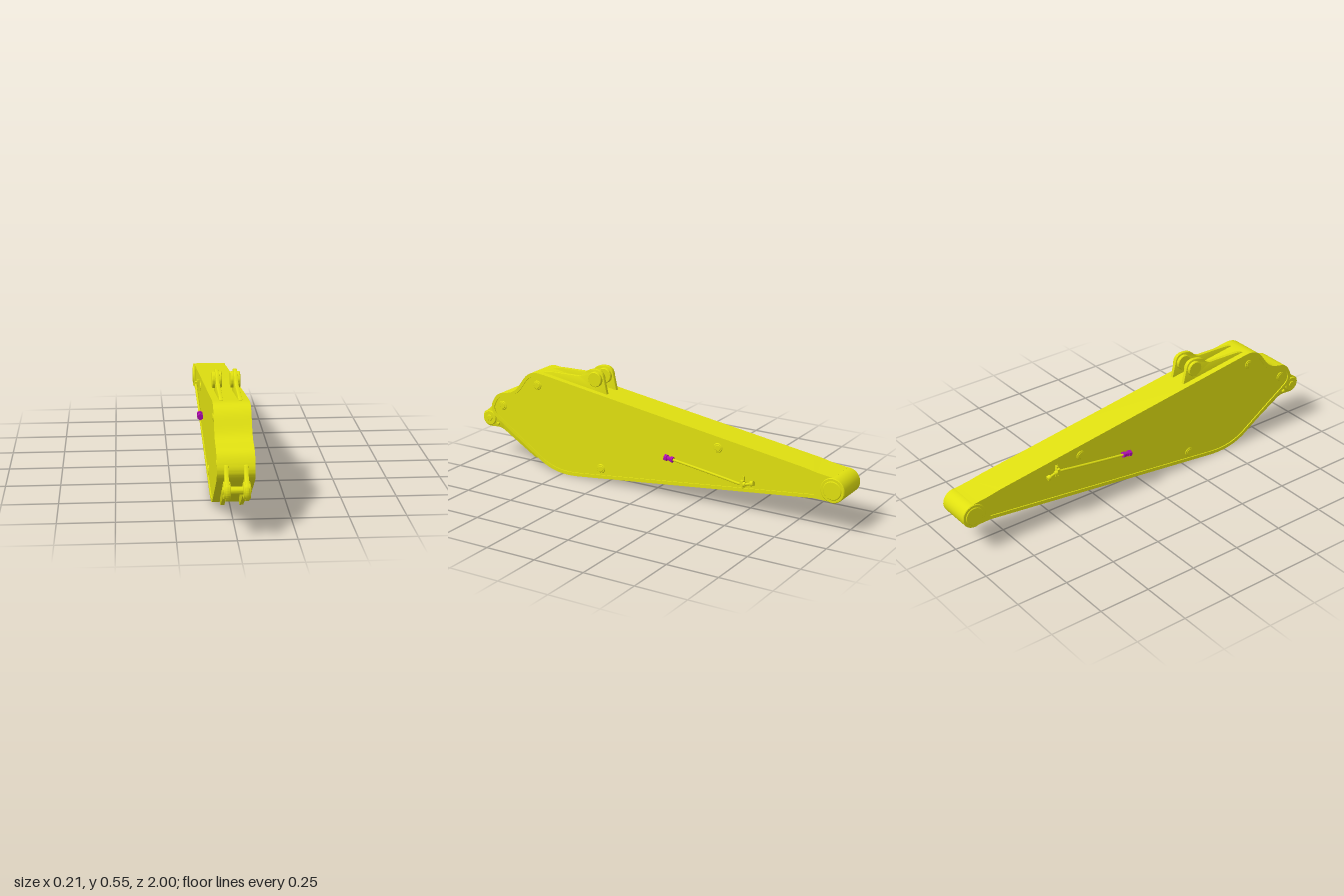
import * as THREE from 'three';
import { toCreasedNormals } from 'three/addons/utils/BufferGeometryUtils.js';

const yellow = new THREE.MeshStandardMaterial({ color: 0xe0e010 });
const magenta = new THREE.MeshStandardMaterial({ color: 0xb010b0 });
const V2 = (p) => new THREE.Vector2(p[0], p[1]);

export function createModel() {
  const root = new THREE.Group();
  root.name = 'excavatorArm';

  const add = (name, geometry, parent = root, material = yellow) => {
    const mesh = new THREE.Mesh(geometry, material);
    mesh.name = name;
    parent.add(mesh);
    return mesh;
  };

  // Plate drawn in (z, y), extruded across x and centred on x = cx
  const plate = (shape, width, cx = 0, bevel = 0) => {
    const g = new THREE.ExtrudeGeometry(shape, {
      depth: width - 2 * bevel, curveSegments: 24, bevelEnabled: bevel > 0,
      bevelSize: bevel, bevelOffset: -bevel, bevelThickness: bevel, bevelSegments: 2,
    });
    g.translate(0, 0, -(width - 2 * bevel) / 2).rotateY(-Math.PI / 2).translate(cx, 0, 0);
    return toCreasedNormals(g, 0.6);
  };

  // Round part lying across x, between x0 and x1
  const disc = (name, r, x0, x1, z, y, parent = root, bevel = 0.003) => {
    const h = (x1 - x0) / 2;
    const profile = [[0, -h], [r - bevel, -h], [r, -h + bevel], [r, h - bevel], [r - bevel, h], [0, h]];
    const g = new THREE.LatheGeometry(profile.map(V2), 32);
    g.rotateZ(-Math.PI / 2).translate((x0 + x1) / 2, y, z);
    return add(name, toCreasedNormals(g, 0.6), parent);
  };

  // Box body outline, counter-clockwise in (z, y)
  const outline = new THREE.Shape();
  outline.moveTo(-0.94, 0.149);
  outline.lineTo(-0.86, 0.152);
  outline.lineTo(0.40, 0.009);
  outline.bezierCurveTo(0.48, 0, 0.55, 0.005, 0.62, 0.045);
  outline.lineTo(0.89, 0.225);
  outline.bezierCurveTo(0.925, 0.25, 0.93, 0.28, 0.91, 0.315);
  outline.bezierCurveTo(0.88, 0.37, 0.85, 0.355, 0.80, 0.373);
  outline.bezierCurveTo(0.73, 0.40, 0.73, 0.495, 0.64, 0.496);
  outline.lineTo(0.60, 0.492);
  outline.lineTo(-0.80, 0.286);
  outline.lineTo(-0.86, 0.274);
  outline.lineTo(-0.94, 0.263);
  const points = outline.getPoints(14);

  // Inset of the outline, cut square before the tail boss
  const inset = points.slice(1, -1).map((p, i) => {
    const t = points[i + 2].clone().sub(points[i]).normalize();
    return new THREE.Vector2(Math.max(p.x - t.y * 0.017, -0.86), p.y + t.x * 0.017);
  });
  const rim = new THREE.Shape(points);
  rim.holes.push(new THREE.Path(inset));
  add('bodyRim', plate(rim, 0.16));
  add('sidePanels', plate(new THREE.Shape(inset), 0.15));

  // Tail boss and its pin
  disc('tailBoss', 0.058, -0.085, 0.085, -0.942, 0.205);
  disc('tailPin', 0.044, -0.088, 0.088, -0.942, 0.205);

  // Cross tubes showing on both sides
  for (const [z, y] of [[0.855, 0.295], [0.64, 0.433], [-0.365, 0.295], [0.275, 0.072]]) {
    disc('crossTube', 0.023, -0.078, 0.078, z, y);
    disc('crossTubeCap', 0.016, -0.080, 0.080, z, y);
  }

  // Front clevis lug
  const frontLug = new THREE.Shape();
  frontLug.moveTo(0.66, 0.052);
  frontLug.quadraticCurveTo(0.672, 0.04, 0.69, 0.05);
  frontLug.lineTo(0.87, 0.158);
  frontLug.quadraticCurveTo(0.89, 0.168, 0.91, 0.167);
  frontLug.lineTo(0.955, 0.164);
  frontLug.absarc(0.956, 0.208, 0.044, -Math.PI / 2, 0.7, false);
  frontLug.quadraticCurveTo(0.955, 0.255, 0.92, 0.30);
  frontLug.quadraticCurveTo(0.91, 0.312, 0.89, 0.31);
  frontLug.lineTo(0.85, 0.26);
  frontLug.lineTo(0.62, 0.10);

  // Top cylinder lug
  const topLug = new THREE.Shape();
  topLug.moveTo(0.25, 0.42);
  topLug.lineTo(0.62, 0.48);
  topLug.lineTo(0.62, 0.496);
  topLug.quadraticCurveTo(0.59, 0.505, 0.55, 0.506);
  topLug.lineTo(0.42, 0.509);
  topLug.quadraticCurveTo(0.395, 0.512, 0.38, 0.53);
  topLug.quadraticCurveTo(0.36, 0.555, 0.31, 0.555);
  topLug.quadraticCurveTo(0.28, 0.553, 0.273, 0.525);

  for (const s of [-1, 1]) {
    const x = 0.041 * s;
    add('frontLug', plate(frontLug, 0.017, x, 0.002));
    disc('frontLugHub', 0.037, x - 0.015, x + 0.015, 0.956, 0.208);
    disc('lockBolt', 0.008, x - 0.019, x + 0.019, 0.905, 0.185);
    add('topLug', plate(topLug, 0.017, x, 0.002));
    disc('topLugHub', 0.037, x - 0.022, x + 0.022, 0.315, 0.508);
  }
  disc('frontPin', 0.016, -0.06, 0.06, 0.956, 0.208);

  // Hydraulic line: one per side, the second turned half a turn about z
  const hydraulicLine = () => {
    const group = new THREE.Group();
    const path = new THREE.CatmullRomCurve3(
      [[-0.13, 0.202], [-0.28, 0.182], [-0.42, 0.162], [-0.49, 0.152], [-0.52, 0.155], [-0.55, 0.164]]
        .map(([z, y]) => new THREE.Vector3(0.093, y, z)));
    add('pipe', new THREE.TubeGeometry(path, 32, 0.006, 10), group);

    // Fittings along z, tilted with the pipe
    const fitting = (name, r, length, z, y, sides, tilt, material) => {
      const g = toCreasedNormals(new THREE.CylinderGeometry(r, r, length, sides), 0.6);
      const mesh = add(name, g, group, material);
      mesh.position.set(0.093, y, z);
      mesh.rotation.x = Math.PI / 2 + tilt;
    };
    fitting('hexNut', 0.016, 0.014, -0.101, 0.205, 6, -0.13, magenta);
    fitting('couplingNeck', 0.010, 0.03, -0.117, 0.203, 16, -0.13, magenta);
    fitting('couplingCollar', 0.015, 0.012, -0.133, 0.201, 6, -0.13, magenta);
    fitting('endFitting', 0.012, 0.016, -0.553, 0.165, 16, 0.28, yellow);
    fitting('endCollar', 0.010, 0.012, -0.515, 0.154, 16, 0.2, yellow);

    // Clamp holding the pipe to the side panel
    const clamp = add('pipeClamp', new THREE.BoxGeometry(0.026, 0.03, 0.014), group);
    clamp.position.set(0.087, 0.153, -0.5);
    const strap = add('clampPlate', new THREE.BoxGeometry(0.008, 0.06, 0.012), group);
    strap.position.set(0.077, 0.156, -0.5);
    disc('clampBolt', 0.006, 0.074, 0.088, -0.5, 0.133, group, 0.001);
    return group;
  };
  const left = hydraulicLine();
  left.name = 'leftHydraulicLine';
  const right = hydraulicLine();
  right.name = 'rightHydraulicLine';
  right.rotation.z = Math.PI;
  right.position.y = 0.42;
  root.add(left, right);

  return root;
}
